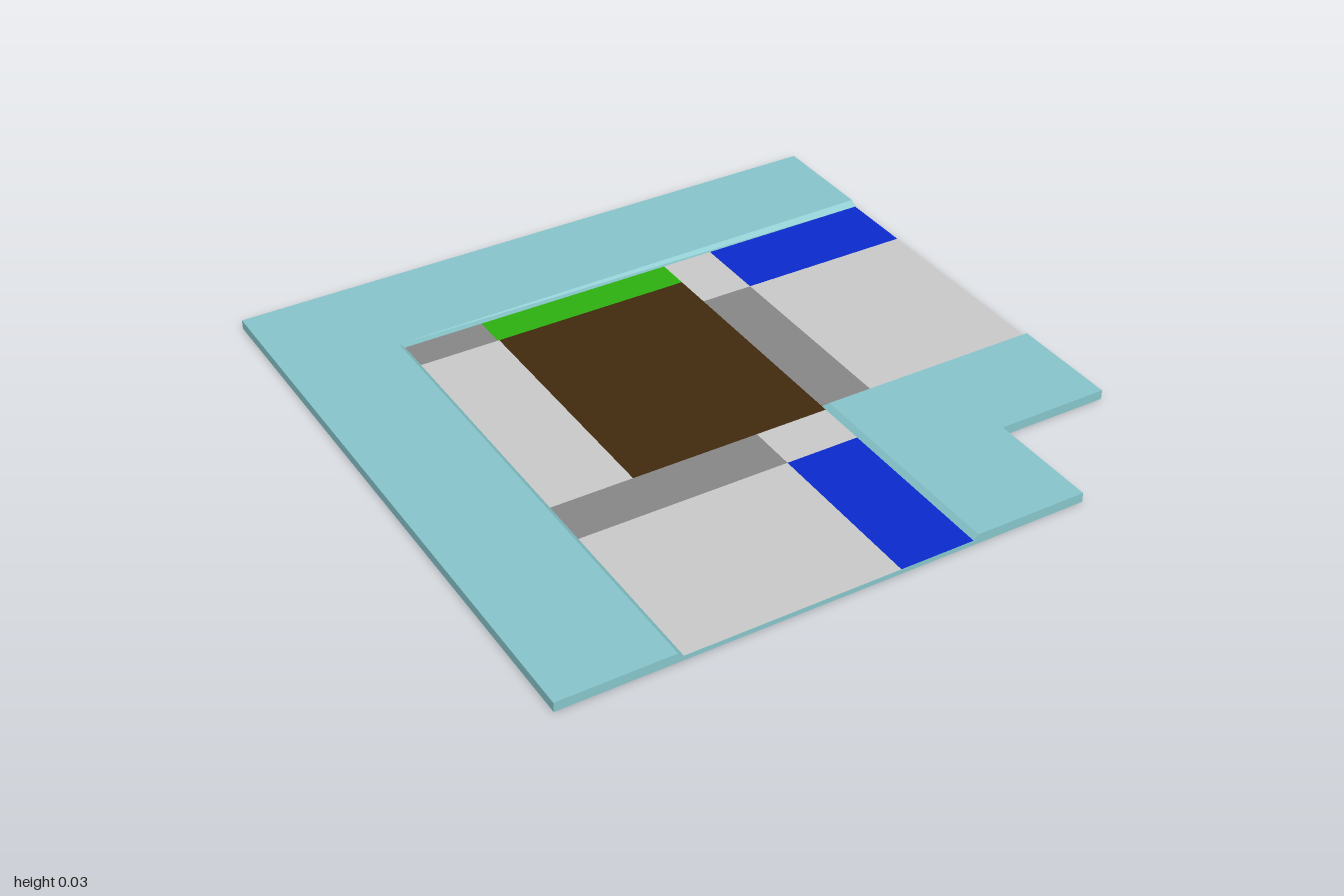
import * as THREE from 'three';

const FLOOR = 0.015, TOP = 0.03;

const material = (name, color) => {
  const m = new THREE.MeshStandardMaterial({ color });
  m.name = name;
  return m;
};

// Prism between two outlines of [x, z] points with equal counts; caps are optional
function loft(lower, upper, y0, y1, capBottom, capTop) {
  const pos = [];
  const add = (p, y) => pos.push(p[0], y, p[1]);
  const cap = (outline, y, order) => {
    const points = outline.map(p => new THREE.Vector2(p[0], p[1]));
    for (const f of THREE.ShapeUtils.triangulateShape(points, []))
      for (const k of order) add(outline[f[k]], y);
  };
  lower.forEach((a, i) => {
    const j = (i + 1) % lower.length;
    add(a, y0); add(upper[i], y1); add(upper[j], y1);
    add(a, y0); add(upper[j], y1); add(lower[j], y0);
  });
  if (capBottom) cap(lower, y0, [0, 1, 2]);
  if (capTop) cap(upper, y1, [0, 2, 1]);
  const g = new THREE.BufferGeometry();
  g.setAttribute('position', new THREE.Float32BufferAttribute(pos, 3));
  g.computeVertexNormals();
  return g;
}

export function createModel() {
  const group = new THREE.Group();
  const teal = material('teal', 0x86c5cb);
  const lightGrey = material('light grey', 0xc9c9c9);
  const darkGrey = material('dark grey', 0x868686);
  const brown = material('brown', 0x41290e);
  const green = material('green', 0x2daf10);
  const blue = material('blue', 0x0a2bcc);

  const add = (name, geometry, mat) => {
    const mesh = new THREE.Mesh(geometry, mat);
    mesh.name = name;
    group.add(mesh);
    return mesh;
  };

  // Base slab with a notched corner; the floor tiles close its top
  const base = [[-1, -1], [1, -1], [1, 0.64], [0.64, 0.64], [0.64, 1], [-1, 1]];
  add('baseSlab', loft(base, base, 0, FLOOR, true, false), teal);

  // Raised border along the back and right, with sloped inner walls
  add('raisedBorder', loft(
    [[-1, -1], [1, -1], [1, -0.63], [-0.63, -0.63], [-0.63, 1], [-1, 1]],
    [[-1, -1], [1, -1], [1, -0.65], [-0.647, -0.635], [-0.647, 1], [-1, 1]],
    FLOOR, TOP, false, true), teal);

  // Raised notched corner block
  add('cornerBlock', loft(
    [[0.27, 0.27], [1, 0.27], [1, 0.64], [0.64, 0.64], [0.64, 1], [0.27, 1]],
    [[0.285, 0.285], [1, 0.285], [1, 0.64], [0.64, 0.64], [0.64, 1], [0.285, 1]],
    FLOOR, TOP, false, true), teal);

  // Flat floor tiles: name, material, x0, z0, x1, z1
  const tiles = [
    ['centreTile', brown, -0.37, -0.52, 0.27, 0.29],
    ['greenStrip', green, -0.375, -0.63, 0.27, -0.52],
    ['blueBackTile', blue, 0.44, -0.63, 1, -0.39],
    ['blueFrontTile', blue, 0.035, 0.45, 0.27, 1],
    ['darkBackTile', darkGrey, -0.63, -0.63, -0.375, -0.52],
    ['darkSideTile', darkGrey, 0.27, -0.39, 0.44, 0.27],
    ['darkFrontTile', darkGrey, -0.63, 0.29, 0.035, 0.45],
    ['lightSideTile', lightGrey, -0.63, -0.52, -0.37, 0.29],
    ['lightBackTile', lightGrey, 0.27, -0.63, 0.44, -0.39],
    ['lightLeftTile', lightGrey, 0.44, -0.39, 1, 0.27],
    ['lightSmallTile', lightGrey, 0.035, 0.29, 0.27, 0.45],
    ['lightFrontTile', lightGrey, -0.63, 0.45, 0.035, 1],
  ];
  for (const [name, mat, x0, z0, x1, z1] of tiles) {
    const g = new THREE.PlaneGeometry(x1 - x0, z1 - z0).rotateX(-Math.PI / 2);
    add(name, g, mat).position.set((x0 + x1) / 2, FLOOR, (z0 + z1) / 2);
  }
  return group;
}
